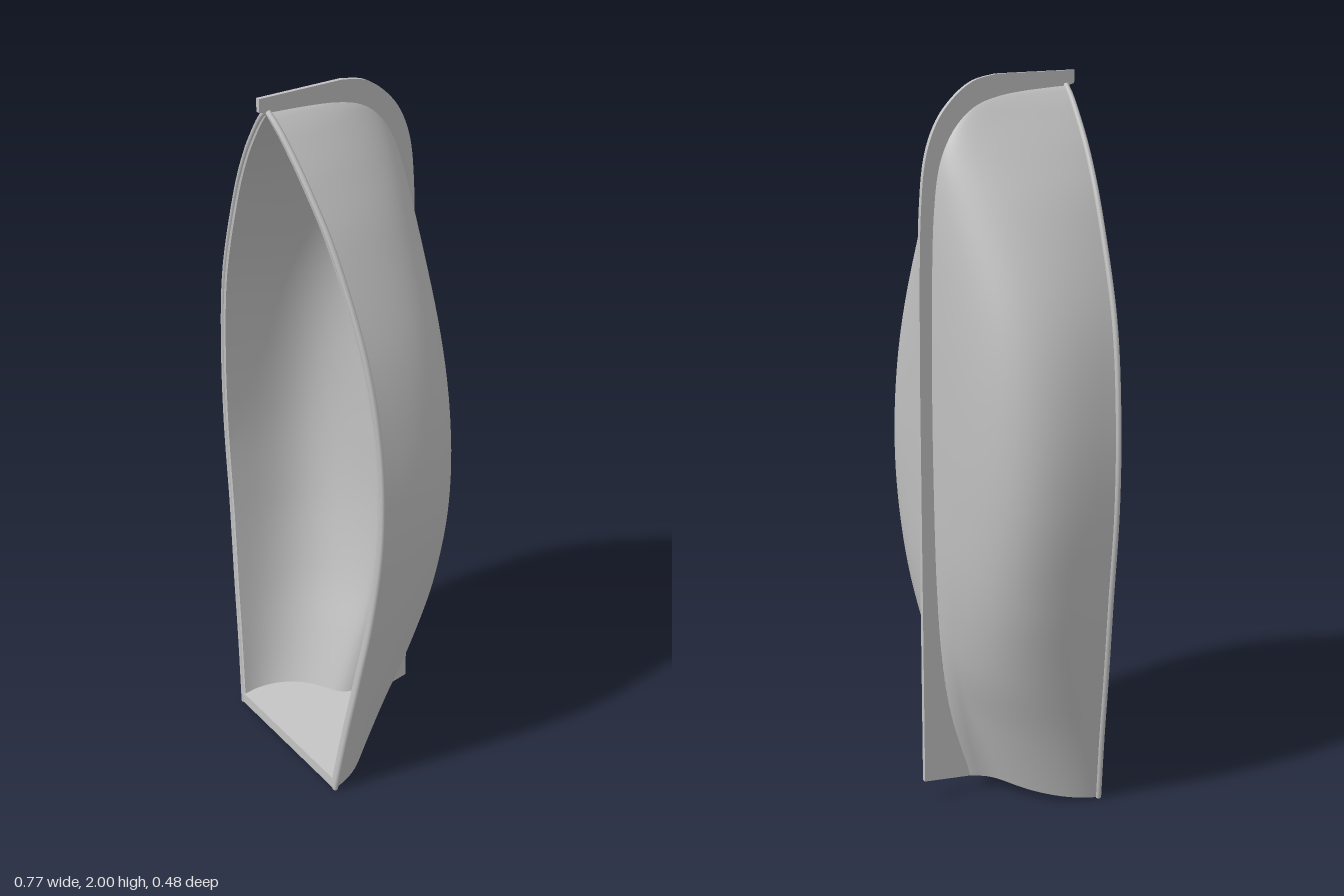
import * as THREE from 'three';

// Stations along the hull: height, half breadth, sheer z, floor z, section fullness, skeg depth
const STATIONS = [
  [0, 0.241, 0.195, -0.01, 2.0, 0.085],
  [0.2, 0.272, 0.18, -0.08, 2.3, 0.07],
  [0.4, 0.307, 0.165, -0.142, 2.7, 0.03],
  [0.65, 0.347, 0.147, -0.178, 3.3, 0.005],
  [0.9, 0.374, 0.14, -0.188, 3.7, 0],
  [1.15, 0.368, 0.143, -0.19, 3.5, 0],
  [1.4, 0.323, 0.157, -0.188, 2.9, 0],
  [1.65, 0.225, 0.178, -0.18, 2.2, 0],
  [1.8, 0.14, 0.197, -0.155, 1.8, 0],
  [1.9, 0.066, 0.21, -0.09, 1.6, 0],
  [1.945, 0.025, 0.217, 0.005, 1.5, 0],
  [1.962, 0.004, 0.22, 0.19, 1.5, 0],
];
const SKEW = 0.15; // rake of the transom
const SHELL = 0.017;
const LONG = 72;
const ROUND = 64;

// Smooth interpolation between stations, u from 0 to 1
function station(u) {
  const last = STATIONS.length - 1;
  const i = Math.min(Math.floor(u * last), last - 1);
  const t = u * last - i;
  const at = (k) => STATIONS[Math.max(0, Math.min(last, k))];
  return STATIONS[0].map((_, c) => {
    const [a, b, d, e] = [at(i - 1)[c], at(i)[c], at(i + 1)[c], at(i + 2)[c]];
    return b + 0.5 * t * (d - a + t * (2 * a - 5 * b + 4 * d - e + t * (3 * (b - d) + e - a)));
  });
}

// Point on the shell; v runs from the left sheer round the floor to the right sheer
function hullPoint(u, v, inset) {
  const [y, b, sheer, floor, full, skeg] = station(u);
  const half = Math.max(b - inset, b * 0.2);
  const depth = Math.max(sheer - floor - inset, 0.005);
  const c = Math.cos(v * Math.PI);
  const s = Math.max(0, Math.sin(v * Math.PI));
  const across = Math.pow(Math.abs(c), 2 / full);
  const x = Math.sign(c) * half * across;
  const fairing = skeg * Math.exp(-Math.abs(x) / 0.02) + 0.012 * (1 - across);
  const z = sheer - depth * Math.pow(s, 2 / full) - fairing;
  const rake = SKEW * (0.195 - z) * Math.max(0, 1 - y / 0.6);
  return new THREE.Vector3(x, y + rake, z);
}

// Grid surface from a rule
function surface(fn, nu, nv) {
  const pos = [];
  const index = [];
  for (let i = 0; i <= nu; i++) {
    for (let j = 0; j <= nv; j++) {
      pos.push(...fn(i / nu, j / nv).toArray());
      if (i < nu && j < nv) {
        const a = i * (nv + 1) + j;
        const b = a + nv + 1;
        index.push(a, a + 1, b, b, a + 1, b + 1);
      }
    }
  }
  const geo = new THREE.BufferGeometry();
  geo.setAttribute('position', new THREE.Float32BufferAttribute(pos, 3));
  geo.setIndex(index);
  geo.computeVertexNormals();
  return geo;
}

export function createModel() {
  const model = new THREE.Group();
  const grey = new THREE.MeshStandardMaterial({ color: 0xc0c0c0, side: THREE.DoubleSide });
  grey.name = 'hull grey';
  const add = (name, geo) => {
    const mesh = new THREE.Mesh(geo, grey);
    mesh.name = name;
    model.add(mesh);
    return mesh;
  };

  // Outer and inner skins
  add('outerHull', surface((u, v) => hullPoint(u, v, 0), LONG, ROUND));
  add('innerHull', surface((u, v) => hullPoint(u, v, SHELL), LONG, ROUND));

  // Flat gunwale and rounded rub rail on each side
  for (const [side, v] of [['left', 0], ['right', 1]]) {
    add(side + 'Gunwale', surface(
      (u, w) => hullPoint(u, v, SHELL * w), LONG, 1));
    const path = [];
    for (let i = 0; i <= 36; i++) {
      const p = hullPoint(i / 36, v, 0);
      p.z -= 0.004;
      path.push(p);
    }
    const rail = new THREE.TubeGeometry(new THREE.CatmullRomCurve3(path), 72, 0.008, 8);
    add(side + 'RubRail', rail);
  }

  // Transom: raked plate with an outer face, an inner face and a top edge
  const thick = 0.035;
  const plate = (rise) => surface((w, v) => {
    const p = hullPoint(0, v, 0);
    const q = new THREE.Vector3(0, 0, 0.195).lerp(p, w);
    q.y += rise;
    if (rise) q.x *= 0.97;
    return q;
  }, 1, ROUND);
  add('transomOuter', plate(0));
  add('transomInner', plate(thick));
  add('transomEdge', surface(
    (u, v) => new THREE.Vector3((0.5 - v) * 0.482, u * thick, 0.195 - u * 0.002), 1, 1));

  // Keel and stem in one thin plank
  const outer = [[-0.238, 1.2], [-0.235, 1.5], [-0.228, 1.68], [-0.213, 1.8], [-0.18, 1.885],
    [-0.13, 1.945], [-0.07, 1.985], [0, 2]];
  const inner = [[0.2, 1.955], [0.06, 1.948], [0, 1.938], [-0.06, 1.912], [-0.11, 1.87],
    [-0.152, 1.8], [-0.182, 1.68], [-0.193, 1.45], [-0.194, 0.9], [-0.186, 0.6], [-0.165, 0.35]];
  const toVec = ([z, y]) => new THREE.Vector2(z, y);
  const shape = new THREE.Shape();
  shape.moveTo(-0.238, 0.065);
  shape.lineTo(-0.238, 1.2);
  shape.splineThru(outer.slice(1).map(toVec));
  shape.lineTo(0.242, 2);
  shape.lineTo(0.242, 1.966);
  shape.lineTo(0.2, 1.955);
  shape.splineThru(inner.slice(1).map(toVec));
  shape.lineTo(-0.09, 0.043);
  const width = 0.012;
  const plank = new THREE.ExtrudeGeometry(shape, {
    depth: width, bevelEnabled: false, curveSegments: 24,
  });
  plank.translate(0, 0, -width / 2);
  plank.rotateY(-Math.PI / 2);
  add('keelAndStem', plank);

  return model;
}
